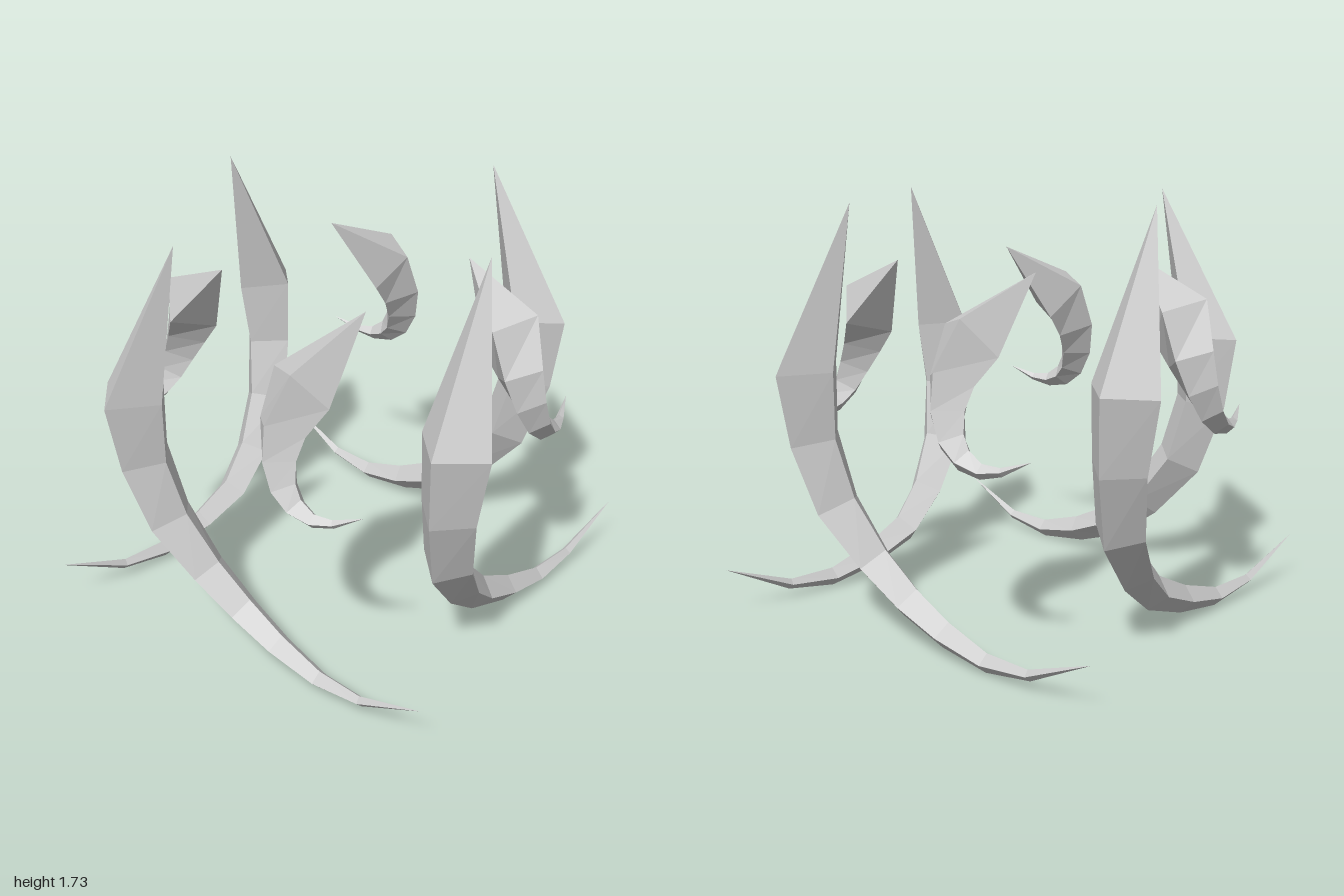
import * as THREE from 'three';

// Four-sided tapering horn. Stations are [x, y, z, radius]; first and last are points.
function hornGeometry(stations, firstTangent) {
  const pts = stations.map(([x, y, z]) => new THREE.Vector3(x, y, z));
  const last = pts.length - 1;
  const rings = stations.map(([, , , r], i) => {
    const t = i === 1 ? firstTangent.clone()
      : pts[Math.min(i + 1, last)].clone().sub(pts[Math.max(i - 1, 0)]);
    t.normalize();
    // Ridges point outward along z and across the curve
    const a = new THREE.Vector3(0, 0, 1).cross(t).normalize();
    const b = t.clone().cross(a);
    return [0, 1, 2, 3].map((k) => {
      const ang = (k * Math.PI) / 2;
      return pts[i].clone()
        .addScaledVector(a, r * Math.cos(ang))
        .addScaledVector(b, r * Math.sin(ang));
    });
  });
  const pos = [];
  const tri = (...v) => v.forEach((p) => pos.push(p.x, p.y, p.z));
  for (let i = 0; i < last; i++) {
    for (let k = 0; k < 4; k++) {
      const n = (k + 1) % 4;
      const [p, q] = [rings[i], rings[i + 1]];
      if (i > 0) tri(p[k], p[n], q[n]);
      if (i < last - 1) tri(p[k], q[n], q[k]);
    }
  }
  const geo = new THREE.BufferGeometry();
  geo.setAttribute('position', new THREE.Float32BufferAttribute(pos, 3));
  geo.computeVertexNormals();
  return geo;
}

export function createModel() {
  const group = new THREE.Group();
  group.name = 'curvedHorns';
  const material = new THREE.MeshStandardMaterial({ color: 0xcccccc, flatShading: true });

  // Tall horn: upright spike sweeping down to a long ground-level tail
  const largeHorn = hornGeometry([
    [-0.16, 1.73, 0.79, 0],
    [-0.39, 1.08, 0.83, 0.155],
    [-0.385, 0.79, 0.805, 0.125],
    [-0.31, 0.52, 0.76, 0.112],
    [-0.15, 0.31, 0.715, 0.087],
    [0.02, 0.17, 0.69, 0.073],
    [0.22, 0.09, 0.70, 0.058],
    [0.445, 0.042, 0.715, 0.04],
    [0.67, 0.063, 0.735, 0.022],
    [0.98, 0.2, 0.77, 0],
  ], new THREE.Vector3(0, -1, -0.08));

  // Small horn: inward-leaning spike curling out into a short tail
  const smallHorn = hornGeometry([
    [0.37, 1.47, 0.34, 0],
    [0.285, 1.235, 0.61, 0.142],
    [0.255, 1.09, 0.685, 0.112],
    [0.27, 0.975, 0.725, 0.088],
    [0.31, 0.88, 0.745, 0.068],
    [0.37, 0.82, 0.75, 0.05],
    [0.45, 0.79, 0.745, 0.031],
    [0.53, 0.797, 0.725, 0.017],
    [0.64, 0.845, 0.685, 0],
  ], new THREE.Vector3(-0.09, -0.24, 0.26));

  // One pair on each of the four sides
  for (let k = 0; k < 4; k++) {
    const pair = new THREE.Group();
    pair.name = 'hornPair' + ['Front', 'Left', 'Back', 'Right'][k];
    for (const [name, geo] of [['largeHorn', largeHorn], ['smallHorn', smallHorn]]) {
      const mesh = new THREE.Mesh(geo, material);
      mesh.name = name;
      pair.add(mesh);
    }
    pair.rotation.y = (k * Math.PI) / 2;
    group.add(pair);
  }
  return group;
}
